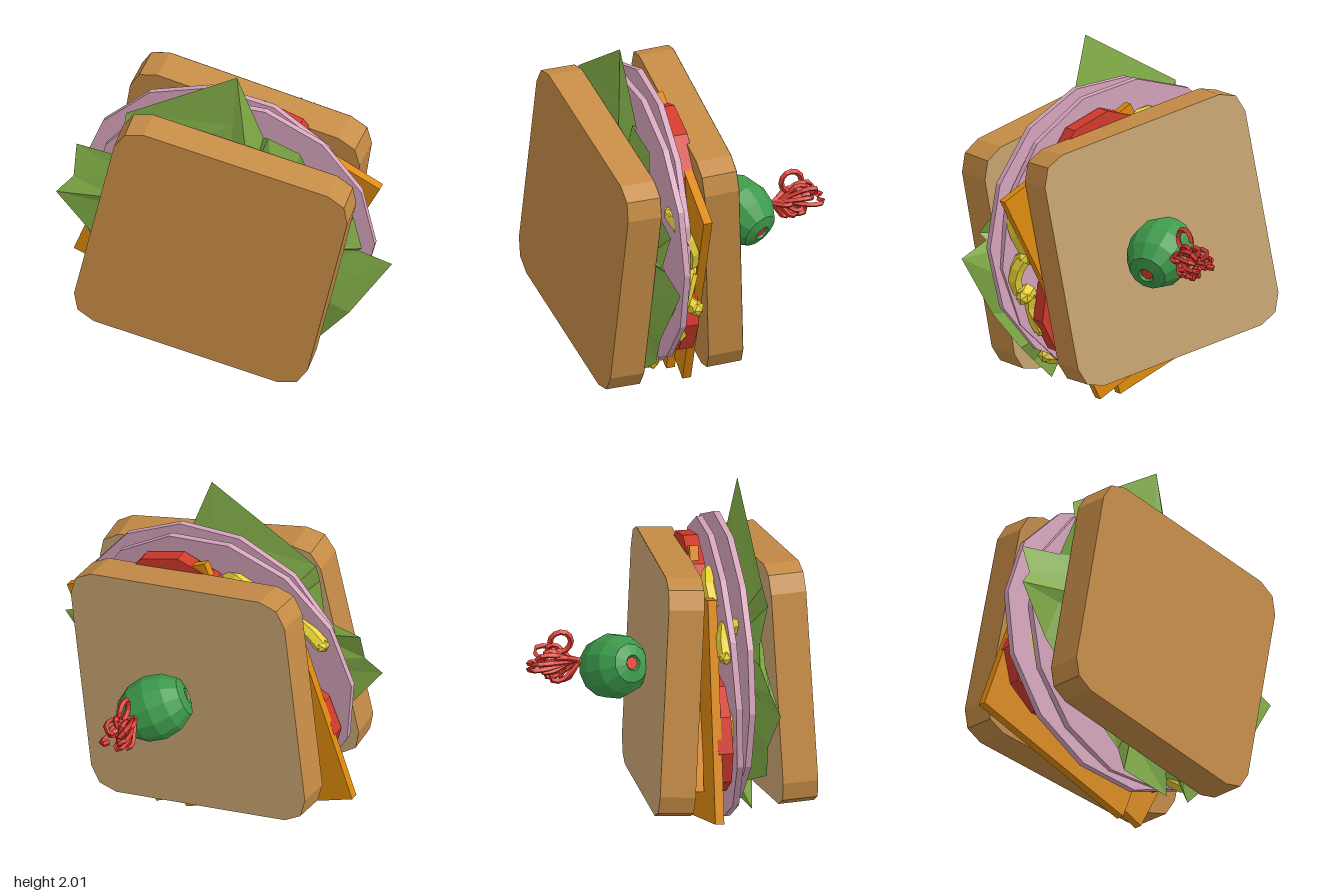
import * as THREE from 'three';

const V = (x, y, z) => new THREE.Vector3(x, y, z);
const mat = (color) => new THREE.MeshStandardMaterial({ color, flatShading: true, side: THREE.DoubleSide });
const crust = mat(0xc68c46), crumb = mat(0xc9a472), cheese = mat(0xdd8a0c), tomato = mat(0xd23a2c);
const ham = mat(0xd6a4bc), leaf = mat(0x84b049), pepper = mat(0xe8d236), oliveGreen = mat(0x3d9a4b);
const wood = mat(0xc9a060), frillRed = mat(0xd83a30);

export function createModel() {
  const root = new THREE.Group();
  const add = (name, geo, material, parent = root) => {
    const m = new THREE.Mesh(geo, material);
    m.name = name;
    parent.add(m);
    return m;
  };

  // Lays a flat layer in the stack: spin about its own axis, then lean by slopes dz/dx and dz/dy
  const lay = (o, [x, y, z], spin, a, b) => {
    o.position.set(x, y, z);
    o.quaternion.setFromUnitVectors(V(0, 0, 1), V(-a, -b, 1).normalize())
      .multiply(new THREE.Quaternion().setFromAxisAngle(V(0, 0, 1), THREE.MathUtils.degToRad(spin)));
    return o;
  };

  // Bread slices: square with two-facet corners, paler crumb on the rear face
  const h = 0.685, c = 0.145, m = 0.042;
  const corner = [[h, h - c], [h - m, h - m], [h - c, h]];
  const outline = [];
  for (let k = 0; k < 4; k++) {
    const q = k * Math.PI / 2;
    for (const [x, y] of corner) {
      outline.push(new THREE.Vector2(x * Math.cos(q) - y * Math.sin(q), x * Math.sin(q) + y * Math.cos(q)));
    }
  }
  const slice = new THREE.Shape(outline);
  const bread = (name, pos, spin, a, b) => {
    const g = new THREE.Group();
    g.name = name;
    const body = new THREE.ExtrudeGeometry(slice, { depth: 0.2, bevelEnabled: false });
    body.translate(0, 0, -0.1);
    add('crust', body, crust, g);
    const face = add('crumb', new THREE.ShapeGeometry(slice), crumb, g);
    face.rotation.y = Math.PI;
    face.position.z = -0.102;
    root.add(lay(g, pos, spin, a, b));
  };
  bread('frontBread', [-0.014, 0.895, 0.61], -12, -0.033, -0.012);
  bread('backBread', [-0.05, 0.91, 0.02], -9, 0.066, 0.07);

  // Cheese slices
  lay(add('cheeseLeft', new THREE.BoxGeometry(1.1, 1.25, 0.05), cheese), [-0.23, 0.77, 0.18], -20, 0.03, 0.03);
  lay(add('cheeseRight', new THREE.BoxGeometry(0.96, 1.37, 0.05), cheese), [0.108, 0.826, 0.166], -26, 0.06, 0.05);

  // Round layers: tomato and ham
  const disc = (name, r, t, sides, material, pos, spin, a, b) => {
    const g = new THREE.CylinderGeometry(r, r, t, sides);
    g.rotateX(Math.PI / 2);
    lay(add(name, g, material), pos, spin, a, b);
  };
  disc('tomatoTop', 0.39, 0.085, 10, tomato, [0.14, 1.25, 0.205], 0, 0.03, 0.02);
  disc('tomatoLower', 0.34, 0.085, 10, tomato, [0.25, 0.55, 0.225], 8, 0.02, 0.0);
  disc('tomatoLeft', 0.33, 0.085, 10, tomato, [-0.5, 0.72, 0.215], 15, 0.02, 0.0);
  disc('hamBack', 0.84, 0.035, 14, ham, [-0.06, 0.92, 0.3], 5, 0.03, -0.03);
  disc('hamFront', 0.82, 0.035, 14, ham, [0.02, 0.94, 0.36], 12, -0.008, 0.022);

  // Pepper strips: short curled rods among the round layers
  const strips = [
    [[-0.72, 1.28, 0.23], [-0.62, 1.36, 0.24], [-0.48, 1.37, 0.3], [-0.38, 1.28, 0.38]],
    [[-0.36, 1.45, 0.23], [-0.24, 1.55, 0.23], [-0.1, 1.52, 0.3], [0.0, 1.4, 0.39]],
    [[0.62, 1.22, 0.37], [0.7, 1.14, 0.33], [0.69, 0.98, 0.27], [0.6, 0.85, 0.27]],
    [[0.68, 0.64, 0.24], [0.6, 0.66, 0.29], [0.57, 0.55, 0.32], [0.52, 0.42, 0.28]],
    [[0.66, 0.86, 0.27], [0.69, 0.76, 0.31], [0.66, 0.66, 0.33], [0.55, 0.6, 0.37]],
    [[0.1, 0.36, 0.29], [0.2, 0.26, 0.34], [0.32, 0.2, 0.39], [0.4, 0.22, 0.4]],
    [[-0.72, 0.9, 0.26], [-0.7, 0.7, 0.27], [-0.58, 0.55, 0.26], [-0.45, 0.5, 0.27]],
  ];
  strips.forEach((p, i) => {
    const curve = new THREE.CatmullRomCurve3(p.map((q) => V(...q)));
    add('pepperStrip' + (i + 1), new THREE.TubeGeometry(curve, 5, 0.045, 6), pepper);
    for (const end of [0, 1]) {
      add('pepperTip', new THREE.IcosahedronGeometry(0.045, 0), pepper).position.copy(curve.getPoint(end));
    }
  });

  // Lettuce: ragged leaf outline, crumpled on both faces around a middle ring
  const rim = [
    [0.96, 0.87, 0.44], [0.77, 0.94, 0.46], [0.8, 0.98, 0.49], [0.73, 1.12, 0.41], [0.55, 1.3, 0.47],
    [0.42, 1.51, 0.42], [0.25, 1.61, 0.46], [0.21, 1.58, 0.42], [0.07, 2.0, 0.465], [-0.57, 1.62, 0.47],
    [-0.58, 1.5, 0.5], [-0.64, 1.29, 0.44], [-0.88, 1.28, 0.39], [-0.88, 1.1, 0.45], [-0.97, 1.0, 0.49],
    [-0.77, 0.73, 0.46], [-0.55, 0.45, 0.5], [-0.18, 0.25, 0.42], [-0.2, 0.09, 0.49], [0.15, 0.05, 0.46],
    [0.17, 0.18, 0.42], [0.24, 0.16, 0.48], [0.31, 0.06, 0.46], [0.4, 0.16, 0.5], [0.55, 0.28, 0.43],
    [0.72, 0.5, 0.47],
  ].map((p) => V(...p));
  const hub = V(0, 0.9, 0.45), tris = [];
  for (const side of [1, -1]) {
    const mid = rim.map((p, i) => {
      const q = p.clone().lerp(hub, 0.3);
      q.z = 0.455 + side * (i % 2 ? 0.05 : 0.02);
      return q;
    });
    const top = V(hub.x, hub.y, 0.45 + side * 0.04);
    rim.forEach((p, i) => {
      const j = (i + 1) % rim.length;
      for (const [a, b, d] of [[top, mid[i], mid[j]], [mid[i], p, rim[j]], [mid[i], rim[j], mid[j]]]) {
        tris.push(...(side > 0 ? [a, b, d] : [a, d, b]));
      }
    });
  }
  const lettuce = new THREE.BufferGeometry().setFromPoints(tris);
  lettuce.computeVertexNormals();
  add('lettuce', lettuce, leaf);

  // Olive: a turned body with a hole at each end, filled by a red core
  const olive = new THREE.Group();
  olive.name = 'olive';
  const prof = [[0.025, -0.16], [0.045, -0.2], [0.11, -0.18], [0.165, -0.1], [0.185, 0], [0.165, 0.1],
    [0.11, 0.18], [0.045, 0.2], [0.025, 0.16]].map(([x, y]) => new THREE.Vector2(x, y));
  add('oliveBody', new THREE.LatheGeometry(prof, 12), oliveGreen, olive);
  add('oliveCore', new THREE.CylinderGeometry(0.036, 0.036, 0.375, 8), frillRed, olive);
  olive.position.set(0.085, 0.905, -0.235);
  olive.quaternion.setFromUnitVectors(V(0, 1, 0), V(0.8, -0.42, -0.38).normalize());
  root.add(olive);

  // Toothpick through the stack
  const from = V(0.02, 0.86, 0.55), to = V(0.135, 0.945, -0.52);
  const pick = add('toothpick', new THREE.CylinderGeometry(0.014, 0.014, from.distanceTo(to), 6), wood);
  pick.position.copy(from).lerp(to, 0.5);
  pick.quaternion.setFromUnitVectors(V(0, 1, 0), to.clone().sub(from).normalize());

  // Frill: thin ribbons curling off the end of the pick
  for (let i = 0; i < 16; i++) {
    const t = i * 2.4, r = 0.05 + 0.012 * (i % 4), z = -0.41 - 0.012 * (i % 7), len = 0.09 + 0.035 * (i % 5);
    const at = (k, s) => V(0.13 + Math.cos(t) * r * k, 0.935 + Math.sin(t) * r * k, z - len * s);
    const curve = new THREE.CatmullRomCurve3([at(0, 0), at(0.7, 0.4), at(1.2, 0.8), at(1, 1.15), at(0.4, 1)]);
    add('frillRibbon', new THREE.TubeGeometry(curve, 8, 0.015, 4), frillRed);
  }
  // One larger raised curl
  const curl = add('frillCurl', new THREE.TorusGeometry(0.06, 0.017, 4, 10, 5.2), frillRed);
  curl.position.set(0.14, 1.055, -0.525);
  curl.rotation.set(0, Math.PI / 2, 0);

  return root;
}
